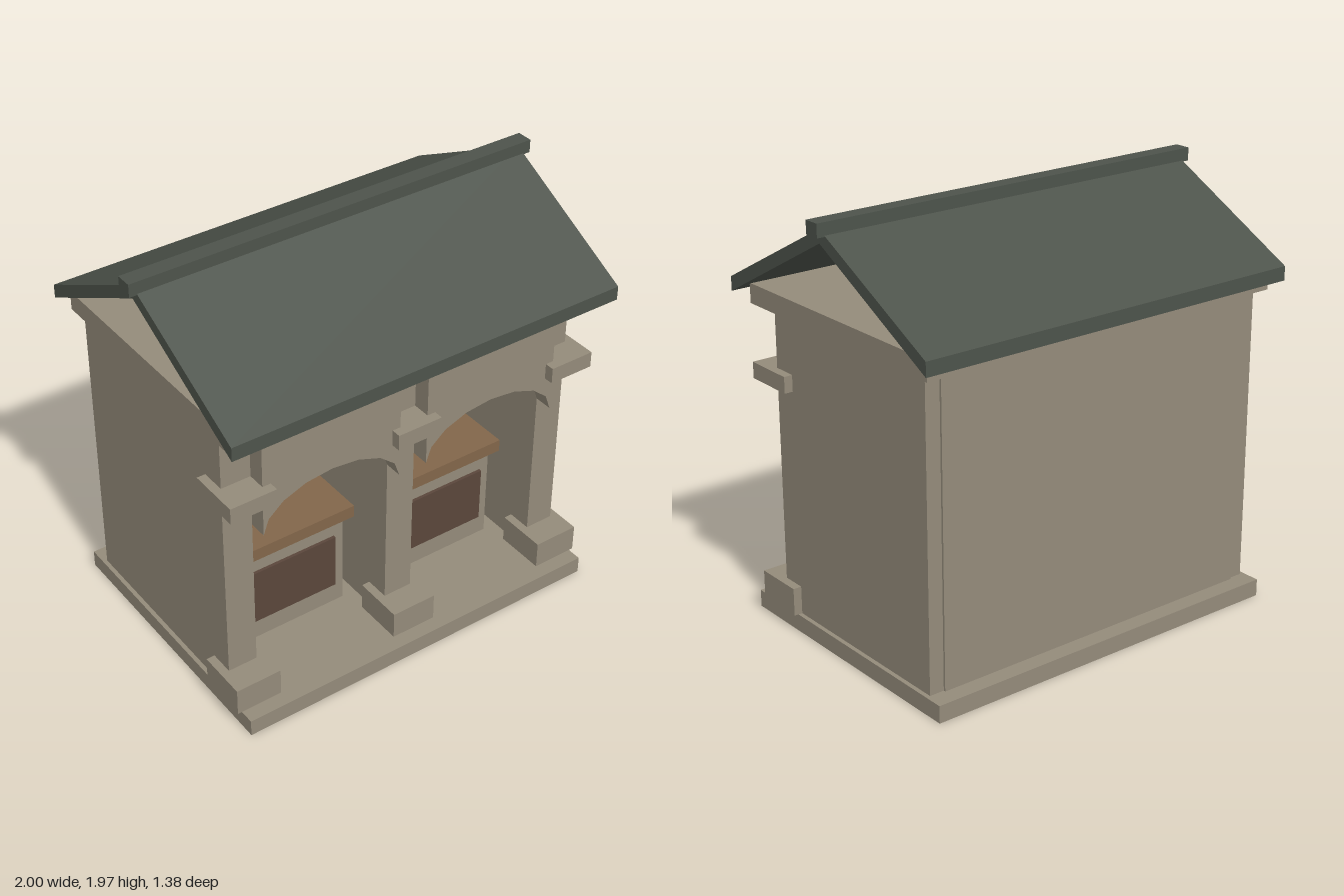
import * as THREE from 'three';

export function createModel() {
  const model = new THREE.Group();
  model.name = 'marketStall';

  const material = (name, color) => {
    const m = new THREE.MeshStandardMaterial({ color });
    m.name = name;
    return m;
  };
  const stone = material('stone', 0x948b7a);
  const slate = material('slate', 0x4d534b);
  const wood = material('wood', 0x82664a);
  const darkPanel = material('darkPanel', 0x5a463b);

  const add = (name, geometry, mat) => {
    const mesh = new THREE.Mesh(geometry, mat);
    mesh.name = name;
    model.add(mesh);
    return mesh;
  };
  // Box given by its extents on each axis
  const box = (name, mat, [x0, x1], [y0, y1], [z0, z1]) =>
    add(name, new THREE.BoxGeometry(x1 - x0, y1 - y0, z1 - z0), mat)
      .position.set((x0 + x1) / 2, (y0 + y1) / 2, (z0 + z1) / 2);

  // Base, back wall and ceiling slab
  box('base', stone, [-0.91, 0.91], [0, 0.08], [-0.67, 0.67]);
  box('backWall', stone, [-0.82, 0.82], [0.08, 1.46], [-0.59, -0.5]);
  box('cornice', stone, [-0.92, 0.92], [1.46, 1.55], [-0.635, 0.615]);

  // Dividing walls, each with a plinth and a capital at the front
  for (const x of [-0.82, 0, 0.82]) {
    box('pierWall', stone, [x - 0.07, x + 0.07], [0.08, 1.46], [-0.58, 0.475]);
    box('plinth', stone, [x - 0.11, x + 0.11], [0.08, 0.21], [0.36, 0.6]);
    box('capital', stone, [x - 0.11, x + 0.11], [1.125, 1.2], [0.36, 0.605]);
  }

  // Two bays, each with an arched front and a counter
  for (const x of [-0.41, 0.41]) {
    const arch = new THREE.Shape();
    arch.moveTo(-0.34, 1.46);
    for (let i = 0; i <= 8; i++) {
      const a = Math.PI * (1 - i / 8);
      arch.lineTo(0.34 * Math.cos(a), 0.95 + 0.19 * Math.sin(a));
    }
    arch.lineTo(0.34, 1.46);
    add('archPanel', new THREE.ExtrudeGeometry(arch, { depth: 0.085, bevelEnabled: false }), stone)
      .position.set(x, 0, 0.475);

    box('counterBase', stone, [x - 0.27, x + 0.27], [0.08, 0.55], [-0.16, 0.25]);
    box('counterTop', wood, [x - 0.31, x + 0.31], [0.55, 0.61], [-0.19, 0.28]);
    box('counterPanel', darkPanel, [x - 0.222, x + 0.222], [0.187, 0.462], [0.25, 0.265]);
  }

  // Open gable roof: a chevron section run along x
  const section = new THREE.Shape([
    [-0.69, 1.505], [0, 1.87], [0.69, 1.505], [0.69, 1.57], [0, 1.93], [-0.69, 1.57],
  ].map(([z, y]) => new THREE.Vector2(z, y)));
  const roof = add('roof', new THREE.ExtrudeGeometry(section, { depth: 1.93, bevelEnabled: false }), slate);
  roof.rotation.y = Math.PI / 2;
  roof.position.x = -0.965;
  box('ridge', slate, [-1, 1], [1.905, 1.965], [-0.038, 0.038]);

  return model;
}
